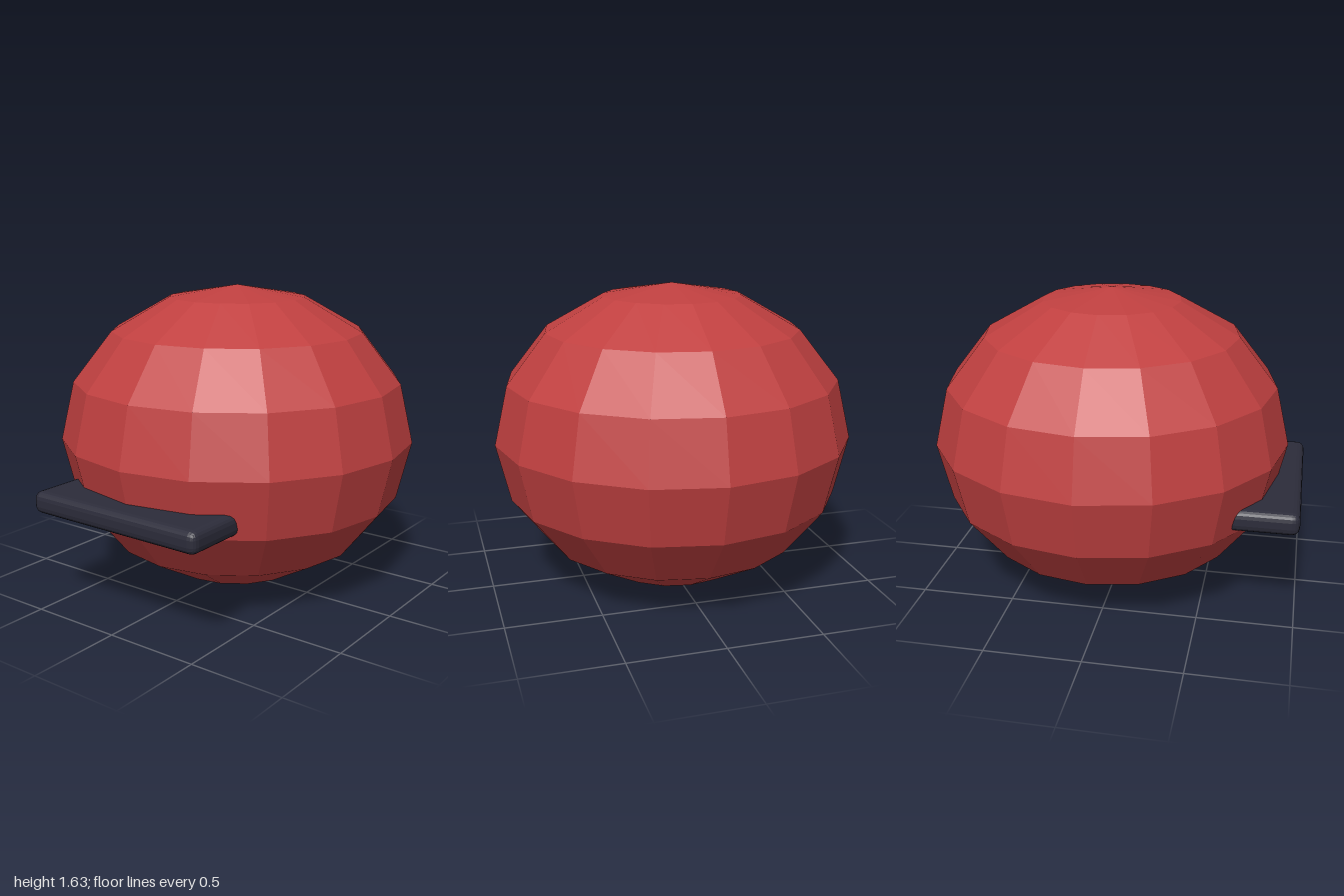
import * as THREE from 'three';
import { RoundedBoxGeometry } from 'three/addons/geometries/RoundedBoxGeometry.js';

export function createModel() {
  const model = new THREE.Group();
  model.name = 'cap';

  const red = new THREE.MeshStandardMaterial({ color: 0xc04040 });
  red.name = 'red';
  red.flatShading = true;
  const charcoal = new THREE.MeshStandardMaterial({ color: 0x2c2c3a });
  charcoal.name = 'charcoal';
  charcoal.flatShading = true;

  // Squashed, faceted dome
  const radius = 0.956, squash = 0.85;
  const dome = new THREE.Mesh(new THREE.SphereGeometry(radius, 16, 8), red);
  dome.name = 'dome';
  dome.scale.y = squash;
  dome.position.set(0, radius * squash, -0.044);
  model.add(dome);

  // Flat visor with softened edges, its rear buried in the dome
  const depth = 0.6;
  const visor = new THREE.Mesh(new RoundedBoxGeometry(1.04, 0.116, depth, 2, 0.04), charcoal);
  visor.name = 'visor';
  visor.position.set(0, 0.582, 1 - depth / 2);
  model.add(visor);

  return model;
}
